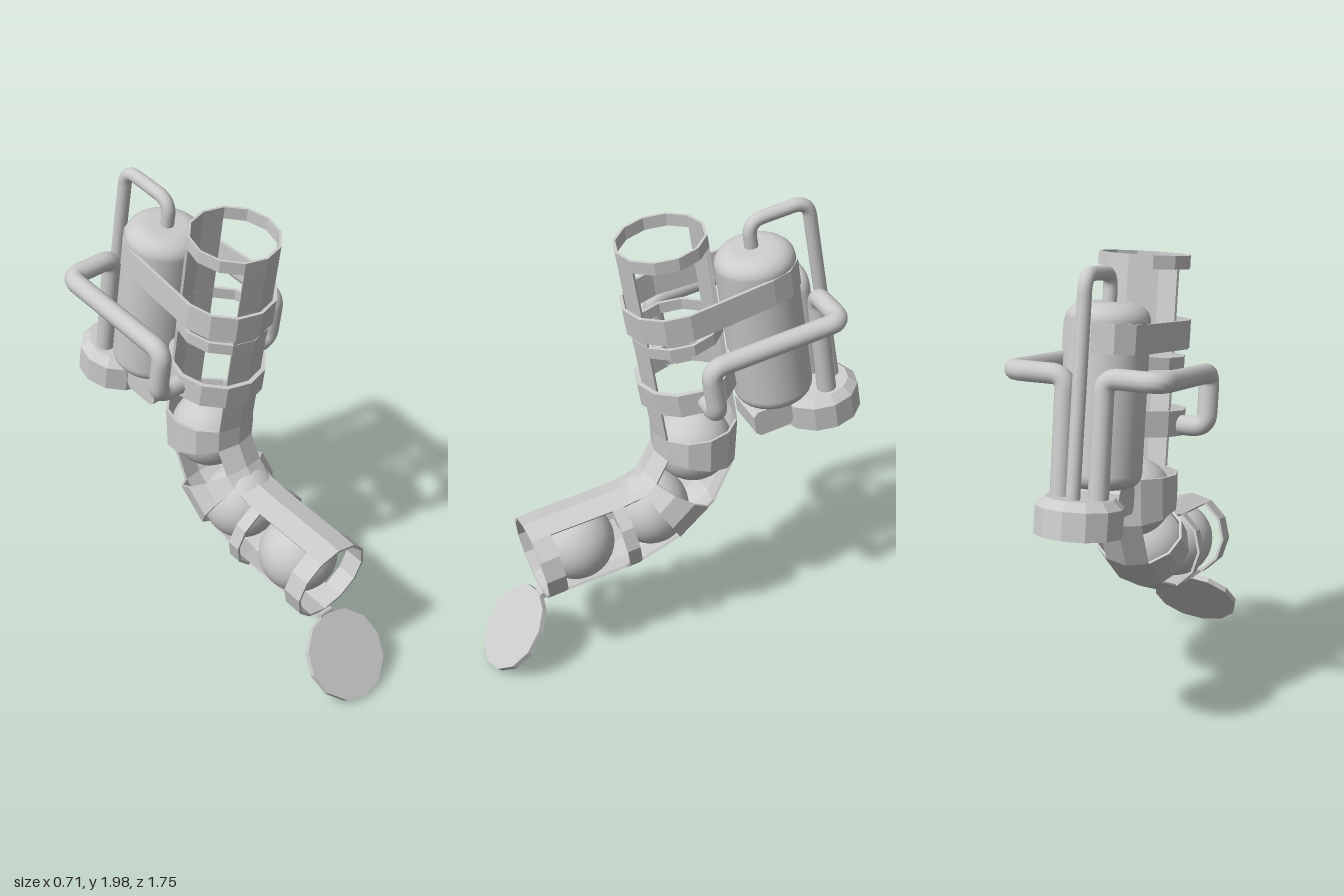
import * as THREE from 'three';

const SIDES = 12, R = 0.193;

// Cross-sections of the bent tube as [z, y] of the inner and outer edge, top to mouth
const SECTIONS = [
  [[0.24, 1.91], [-0.14, 1.97]],
  [[0.231, 1.855], [-0.149, 1.915]],
  [[0.087, 1.026], [-0.288, 1.063]],
  [[0.08, 0.931], [-0.278, 0.852]],
  [[0.13, 0.836], [-0.183, 0.646]],
  [[0.167, 0.794], [-0.019, 0.497]],
  [[0.262, 0.772], [0.183, 0.407]],
  [[0.315, 0.762], [0.241, 0.397]],
  [[0.595, 0.72], [0.526, 0.354]],
  [[0.68, 0.704], [0.611, 0.339]],
];

function sectionPoint([f, b], i, k) {
  const a = (i / SIDES) * Math.PI * 2;
  const c = Math.cos(a) * k;
  const cz = (f[0] + b[0]) / 2, cy = (f[1] + b[1]) / 2;
  return [R * Math.sin(a) * k, cy + (f[1] - cy) * c, cz + (f[0] - cz) * c];
}

// Thick curved panel between two sections, covering facets i0 to i1
function panel(sa, sb, i0, i1) {
  const pos = [];
  const quad = (a, b, c, d) => pos.push(...a, ...b, ...c, ...a, ...c, ...d);
  const full = i1 - i0 === SIDES;
  for (let i = i0; i < i1; i++) {
    const corners = (j) => [sectionPoint(sa, j, 1), sectionPoint(sb, j, 1), sectionPoint(sa, j, 0.94), sectionPoint(sb, j, 0.94)];
    const [oa, ob, ia, ib] = corners(i);
    const [pa, pb, qa, qb] = corners(i + 1);
    quad(oa, ob, pb, pa);
    quad(ia, qa, qb, ib);
    quad(oa, pa, qa, ia);
    quad(ob, ib, qb, pb);
    if (!full && i === i0) quad(oa, ia, ib, ob);
    if (!full && i === i1 - 1) quad(pa, pb, qb, qa);
  }
  const g = new THREE.BufferGeometry();
  g.setAttribute('position', new THREE.Float32BufferAttribute(pos, 3));
  g.computeVertexNormals();
  return g;
}

// Outline round the tube and, if given, round a second circle behind it
function outline(Shape, rFront, rBack, dist) {
  const pts = [];
  for (let i = 0; i <= 6; i++) {
    const a = Math.PI + (i / 6) * Math.PI;
    pts.push(new THREE.Vector2(rFront * Math.cos(a), rFront * Math.sin(a)));
  }
  for (let i = dist ? 0 : 1; i <= (dist ? 6 : 5); i++) {
    const a = (i / 6) * Math.PI;
    pts.push(new THREE.Vector2(rBack * Math.cos(a), dist + rBack * Math.sin(a)));
  }
  return new Shape(pts);
}

function band(rFront, rBack, dist, height, wall = 0.014) {
  const s = outline(THREE.Shape, rFront, rBack, dist);
  s.holes.push(outline(THREE.Path, rFront - wall, rBack - wall, dist));
  return new THREE.ExtrudeGeometry(s, { depth: height, bevelEnabled: false }).rotateX(-Math.PI / 2);
}

// Round pipe through corner points with softened bends
function pipe(points, radius, bend) {
  const p = points.map((v) => new THREE.Vector3(...v));
  const path = new THREE.CurvePath();
  let last = p[0];
  for (let i = 1; i < p.length - 1; i++) {
    const a = p[i].clone().add(p[i - 1].clone().sub(p[i]).setLength(bend));
    const b = p[i].clone().add(p[i + 1].clone().sub(p[i]).setLength(bend));
    path.add(new THREE.LineCurve3(last, a));
    path.add(new THREE.QuadraticBezierCurve3(a, p[i], b));
    last = b;
  }
  path.add(new THREE.LineCurve3(last, p[p.length - 1]));
  return new THREE.TubeGeometry(path, 110, radius, 14, false);
}

export function createModel() {
  const model = new THREE.Group();
  const smooth = new THREE.MeshStandardMaterial({ color: 0xcccccc, side: THREE.DoubleSide });
  const flat = new THREE.MeshStandardMaterial({ color: 0xcccccc, side: THREE.DoubleSide, flatShading: true });
  const add = (parent, name, geo, mat, x = 0, y = 0, z = 0) => {
    const m = new THREE.Mesh(geo, mat);
    m.name = name;
    m.position.set(x, y, z);
    parent.add(m);
    return m;
  };

  // Bent tube: full rings alternate with pairs of strips that leave side windows
  const tube = new THREE.Group();
  tube.name = 'tube';
  model.add(tube);
  for (let i = 0; i < SECTIONS.length - 1; i++) {
    const a = SECTIONS[i], b = SECTIONS[i + 1];
    if (i % 2 === 0) add(tube, 'tubeRing', panel(a, b, 0, SIDES), flat);
    else {
      add(tube, 'innerStrip', panel(a, b, -1, 1), flat);
      add(tube, 'outerStrip', panel(a, b, 5, 7), flat);
    }
  }

  // Balls queued inside the tube
  for (const [y, z] of [[0.93, -0.1], [0.65, 0.1], [0.56, 0.447]])
    add(model, 'ball', new THREE.SphereGeometry(0.168, 32, 20), smooth, 0, y, z);

  // Tilted upper assembly: origin at the tube's top, -y down the tube, -z toward the back
  const upper = new THREE.Group();
  upper.name = 'upperAssembly';
  upper.position.set(0, 1.94, 0.05);
  upper.rotation.x = 0.166;
  model.add(upper);

  add(upper, 'tankBelt', band(0.21, 0.178, 0.383, 0.119), flat, 0, -0.382, 0);
  add(upper, 'thinRing', band(R, R, 0, 0.05), flat, 0, -0.465, 0);
  add(upper, 'lowerCollar', band(0.21, 0.21, 0, 0.106, 0.02), flat, 0, -0.74, 0);

  // Pressure tank with rounded ends
  const profile = [new THREE.Vector2(0, 0)];
  const corner = (r, y, h, from) => {
    for (let i = 0; i <= 6; i++) {
      const a = from + (i / 6) * (Math.PI / 2);
      profile.push(new THREE.Vector2(0.17 - r + r * Math.cos(a), y + h * Math.sin(a)));
    }
  };
  corner(0.06, 0.06, 0.06, -Math.PI / 2);
  corner(0.09, 0.67, 0.07, 0);
  profile.push(new THREE.Vector2(0, 0.74));
  add(upper, 'tank', new THREE.LatheGeometry(profile, 32), smooth, 0, -0.926, -0.383);

  // Valve block under the tank, extruded with chamfered corners
  const w = 0.088, h = 0.06, c = 0.02;
  const block = new THREE.Shape([
    [-w + c, -h], [w - c, -h], [w, -h + c], [w, h - c],
    [w - c, h], [-w + c, h], [-w, h - c], [-w, -h + c],
  ].map((p) => new THREE.Vector2(...p)));
  const blockGeo = new THREE.ExtrudeGeometry(block, { depth: 0.2, bevelEnabled: false });
  blockGeo.translate(0, 0, -0.1).rotateY(Math.PI / 2);
  add(upper, 'valveBlock', blockGeo, flat, 0, -0.99, -0.317 - 0.005);
  upper.getObjectByName('valveBlock').position.set(0, -0.987, -0.325);

  // Cup holding the pipe ends, open underneath
  const cup = [[0.15, 0.12], [0.15, 0], [0.178, 0], [0.178, 0.115], [0.14, 0.15], [0, 0.15]];
  add(upper, 'pipeCup', new THREE.LatheGeometry(cup.map((p) => new THREE.Vector2(...p)), SIDES),
    flat, 0, -1.093, -0.582);

  // Side pipes from the cup, round to the lower collar
  for (const s of [-1, 1])
    add(upper, s > 0 ? 'leftPipe' : 'rightPipe', pipe([
      [s * 0.08, -1.0, -0.592], [s * 0.08, -0.468, -0.6], [s * 0.315, -0.468, -0.6],
      [s * 0.315, -0.468, -0.01], [s * 0.315, -0.695, -0.01], [s * 0.18, -0.695, -0.01],
    ], 0.042, 0.06), smooth);

  // Thin pipe from the tank top back down to the cup
  add(upper, 'topPipe', pipe([
    [0, -0.22, -0.378], [0, -0.072, -0.378], [0, -0.072, -0.65], [0, -1.0, -0.66],
  ], 0.029, 0.07), smooth);

  // Open lid hanging from the mouth on a small hinge
  const lid = add(model, 'lid', new THREE.CylinderGeometry(0.196, 0.196, 0.025, SIDES), flat, 0, 0.171, 0.74);
  lid.rotation.x = 0.88;
  const hinge = add(model, 'hinge', new THREE.CylinderGeometry(0.016, 0.016, 0.065, 10), flat, 0, 0.33, 0.612);
  hinge.rotation.z = Math.PI / 2;

  return model;
}
